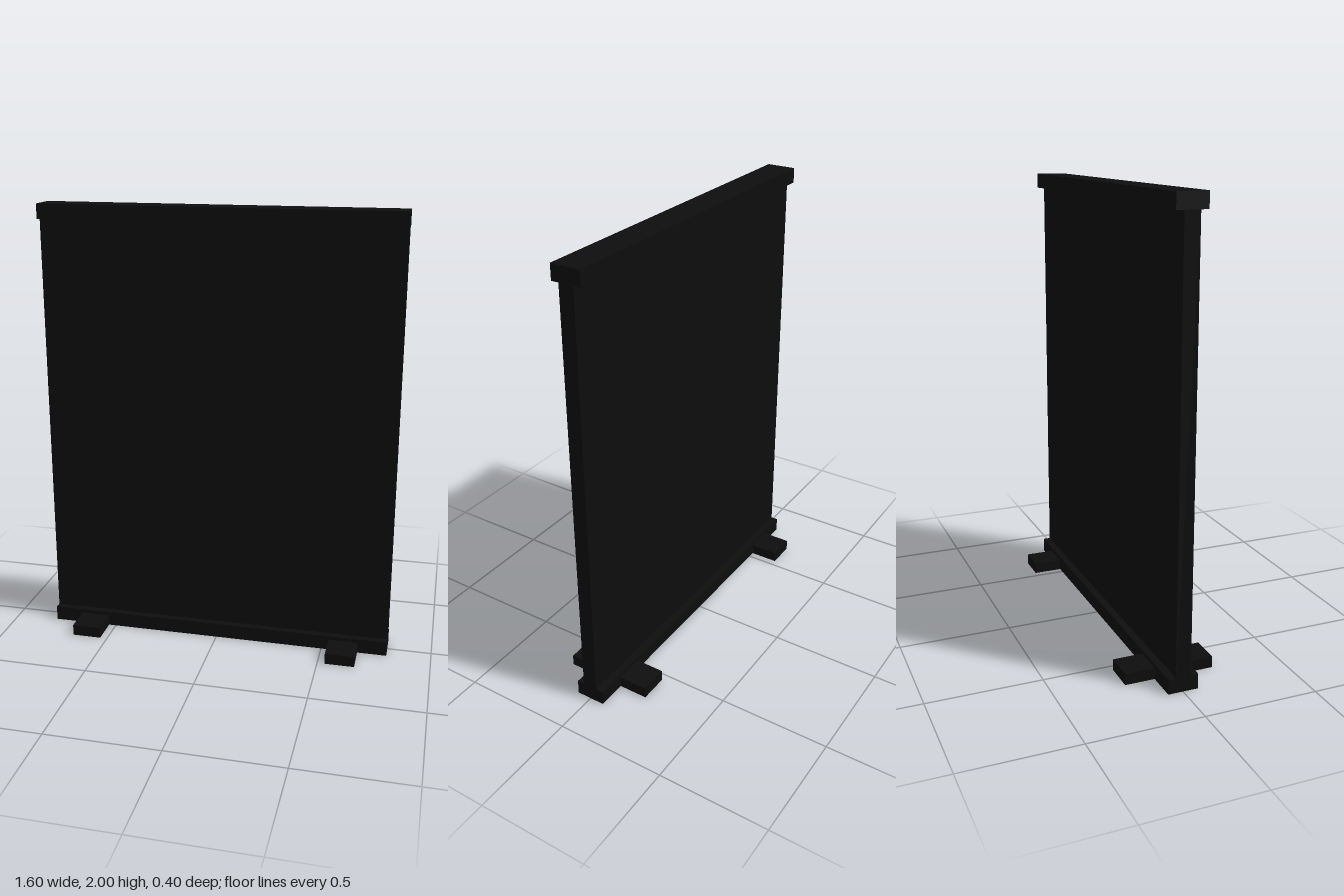
import * as THREE from 'three';

export function createModel() {
  const group = new THREE.Group();
  const black = new THREE.MeshStandardMaterial({ color: 0x0d0d0d });
  black.name = 'black';

  // Box resting with its underside at height y
  const addBox = (name, width, height, depth, x, y) => {
    const mesh = new THREE.Mesh(new THREE.BoxGeometry(width, height, depth), black);
    mesh.name = name;
    mesh.position.set(x, y + height / 2, 0);
    group.add(mesh);
  };

  const rail = 0.0667;

  // Upright board between two wider rails
  addBox('panel', 1.6, 2 - 2 * rail, 0.0667, 0, rail);
  addBox('topRail', 1.6, rail, 0.1333, 0, 2 - rail);
  addBox('bottomRail', 1.6, rail, 0.1333, 0, 0);

  // Feet crossing under the board, mirrored left and right
  for (const side of [1, -1]) {
    addBox(side > 0 ? 'leftFoot' : 'rightFoot', 0.1333, 0.05, 0.4, side * 0.6, 0);
  }

  return group;
}
